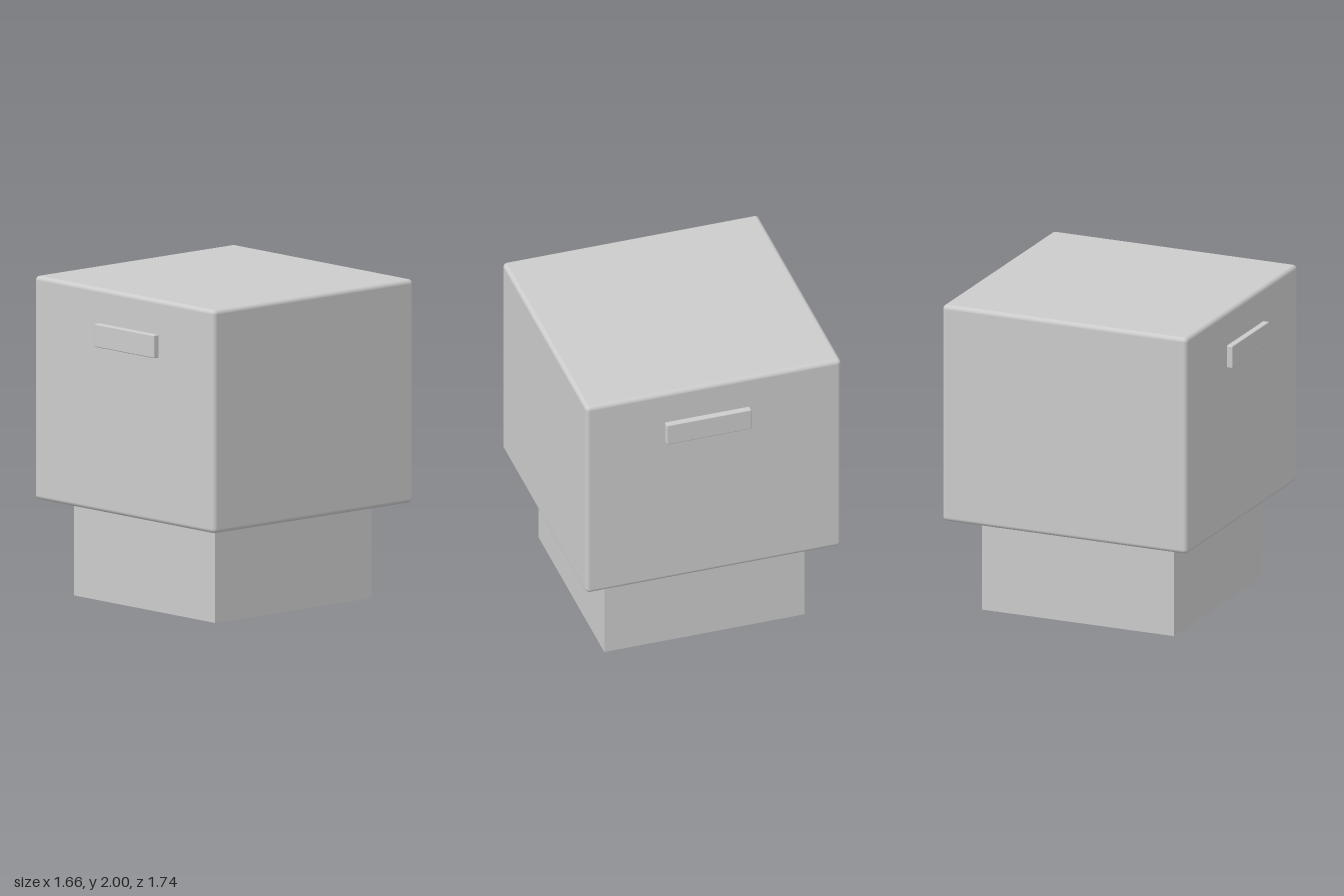
import * as THREE from 'three';
import { RoundedBoxGeometry } from 'three/addons/geometries/RoundedBoxGeometry.js';

export function createModel() {
  const group = new THREE.Group();
  const material = new THREE.MeshStandardMaterial({ color: 0xcccccc });

  const add = (name, geometry, x, y, z) => {
    const mesh = new THREE.Mesh(geometry, material);
    mesh.name = name;
    mesh.position.set(x, y, z);
    group.add(mesh);
  };

  // Square plinth under the body
  add('base', new THREE.BoxGeometry(1.3, 0.6, 1.3), 0, 0.3, 0.01);

  // Large box with softly rounded edges
  add('body', new RoundedBoxGeometry(1.66, 1.4, 1.66, 4, 0.028), 0, 1.3, 0);

  // Slim handles on the front and back, set slightly off centre
  for (const [name, side] of [['frontHandle', 1], ['backHandle', -1]]) {
    add(name, new RoundedBoxGeometry(0.55, 0.145, 0.06, 3, 0.007), 0.043, 1.71, side * 0.838);
  }

  return group;
}
